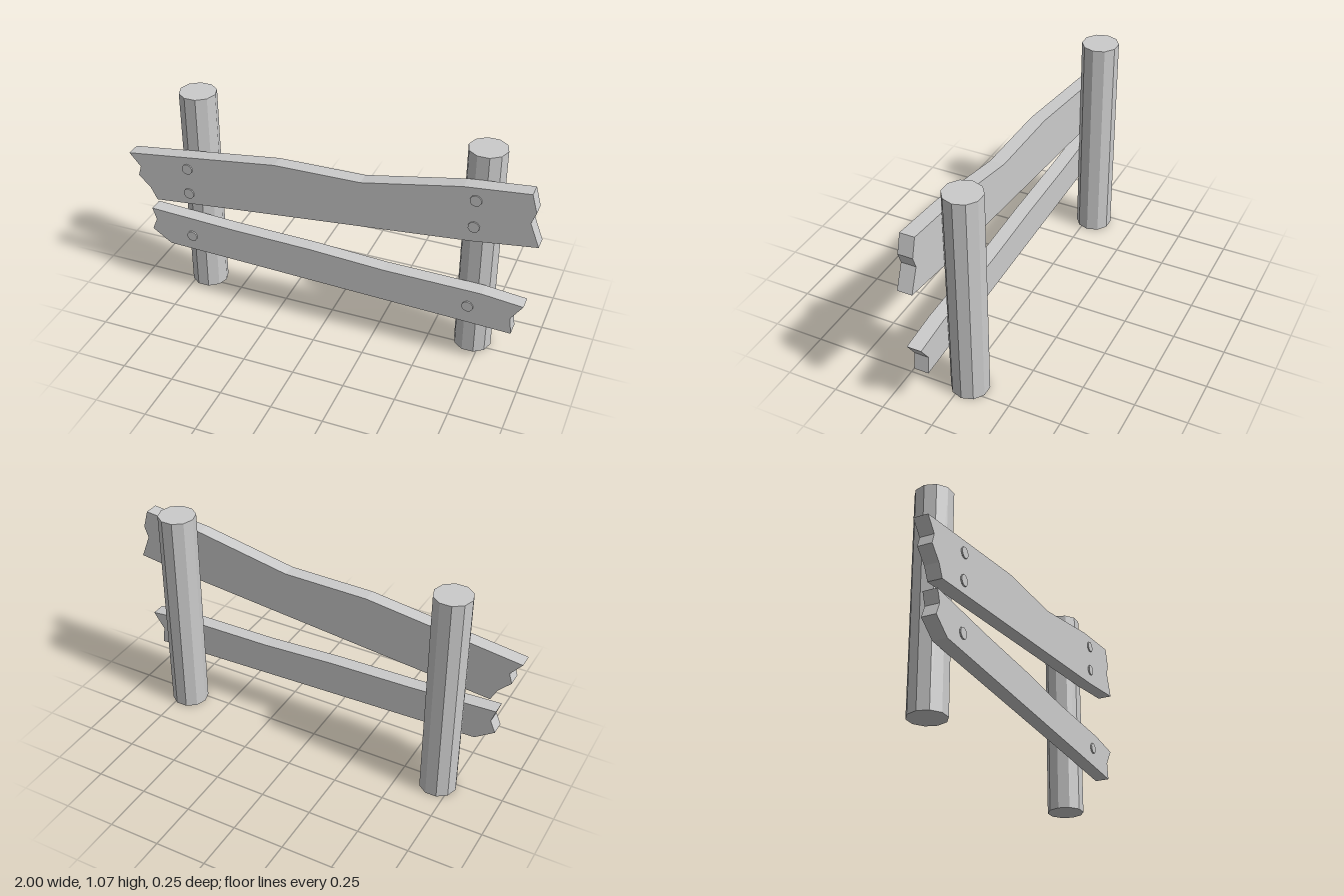
import * as THREE from 'three';

const material = new THREE.MeshStandardMaterial({ color: 0xcccccc, flatShading: true });

function addMesh(parent, name, geometry, x = 0, y = 0, z = 0) {
  const mesh = new THREE.Mesh(geometry, material);
  mesh.name = name;
  mesh.position.set(x, y, z);
  parent.add(mesh);
  return mesh;
}

// Plank outlines, clockwise from the upper left corner, with splintered ends
const upperOutline = [
  [-1, 0.755], [-0.24, 0.855], [0.18, 0.86], [0.65, 0.95], [0.95, 0.98],
  [0.975, 0.89], [0.955, 0.835], [1, 0.72],
  [0.71, 0.68], [-0.87, 0.52],
  [-0.9, 0.58], [-0.96, 0.64], [-0.945, 0.69],
];
const lowerOutline = [
  [-0.905, 0.46], [-0.475, 0.44], [-0.07, 0.43], [0.3, 0.41], [0.77, 0.405], [0.965, 0.385],
  [0.91, 0.305], [0.92, 0.22],
  [0.65, 0.23], [-0.815, 0.275],
  [-0.91, 0.34], [-0.885, 0.4],
];

function plankGeometry(outline) {
  const shape = new THREE.Shape(outline.map(([x, y]) => new THREE.Vector2(x, y)));
  return new THREE.ExtrudeGeometry(shape, { depth: 0.07, bevelEnabled: false });
}

export function createModel() {
  const fence = new THREE.Group();
  fence.name = 'brokenFence';

  const postHeight = 1.07;
  const plankBack = 0.05;
  const boltZ = 0.115;

  // Ten-sided posts with a flat side against the planks
  const postGeometry = new THREE.CylinderGeometry(0.09, 0.09, postHeight, 10).rotateY(Math.PI / 2);
  // Bolt heads facing forward
  const boltGeometry = new THREE.CylinderGeometry(0.027, 0.027, 0.024, 10).rotateX(Math.PI / 2);

  const sides = [
    { name: 'right', x: -0.69, bolts: [0.733, 0.598, 0.35] },
    { name: 'left', x: 0.71, bolts: [0.893, 0.757, 0.32] },
  ];
  for (const { name, x, bolts } of sides) {
    addMesh(fence, `${name}Post`, postGeometry, x, postHeight / 2, -0.036);
    bolts.forEach((y, i) => addMesh(fence, `${name}Bolt${i + 1}`, boltGeometry, x, y, boltZ));
  }

  // Planks
  addMesh(fence, 'upperPlank', plankGeometry(upperOutline), 0, 0, plankBack);
  addMesh(fence, 'lowerPlank', plankGeometry(lowerOutline), 0, 0, plankBack);

  return fence;
}
